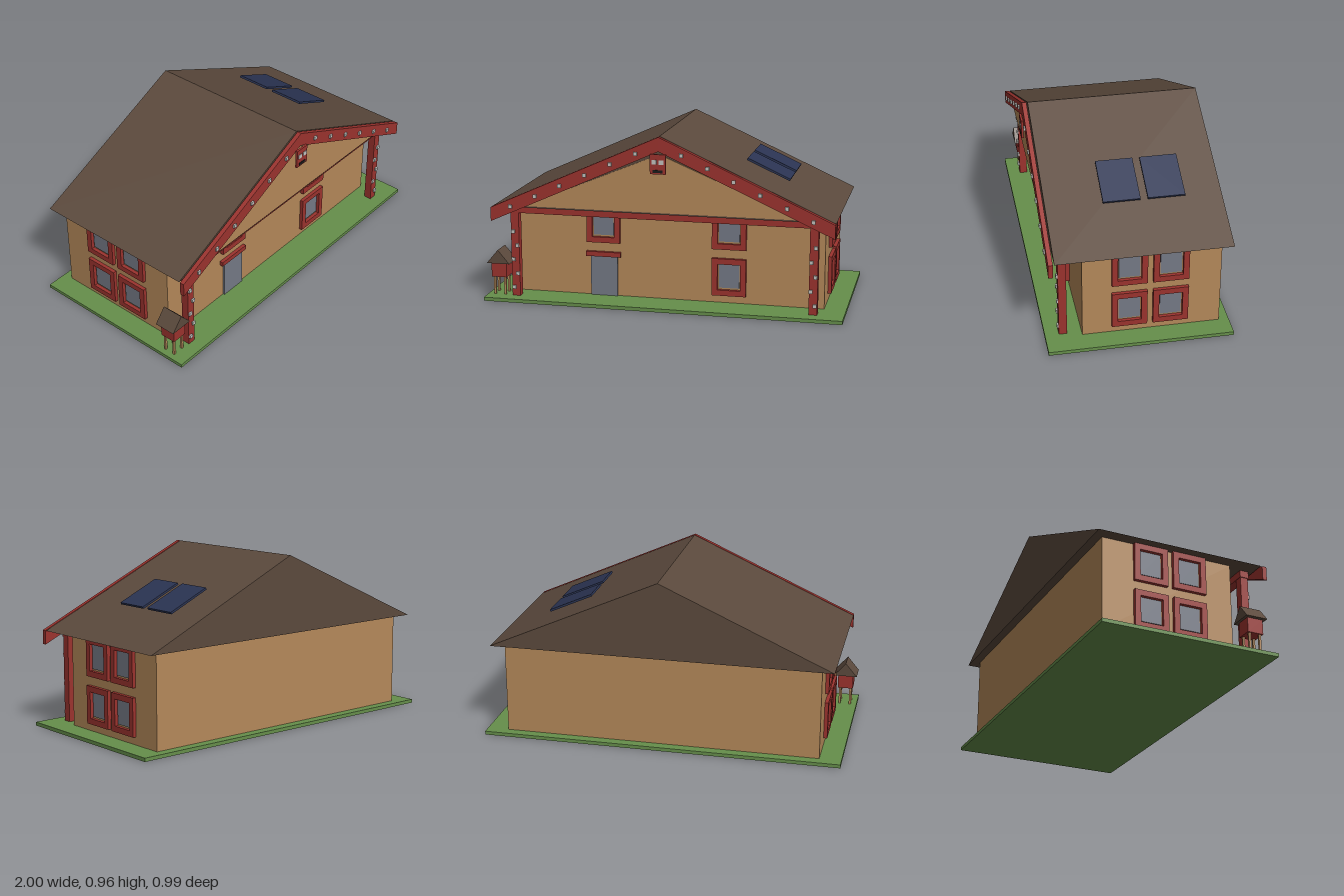
import * as THREE from 'three';

const mat = (name, color) => {
  const m = new THREE.MeshStandardMaterial({ color });
  m.name = name;
  return m;
};

export function createModel() {
  const root = new THREE.Group();
  root.name = 'house';
  const tan = mat('tan wall', 0xb5895a);
  const red = mat('red timber', 0x9c332e);
  const brown = mat('brown roof', 0x5c4a3d);
  const green = mat('grass green', 0x668f4b);
  const grey = mat('grey glass', 0x757a86);
  const navy = mat('navy panel', 0x2b3453);
  const pale = mat('pale stud', 0xc4c4c0);
  const black = mat('black', 0x1a1a1a);

  const add = (name, geometry, material, parent = root) => {
    const mesh = new THREE.Mesh(geometry, material);
    mesh.name = name;
    parent.add(mesh);
    return mesh;
  };
  // Box given by its lower and upper corners
  const box = (name, material, [x0, y0, z0], [x1, y1, z1], parent) => {
    const g = new THREE.BoxGeometry(x1 - x0, y1 - y0, z1 - z0);
    g.translate((x0 + x1) / 2, (y0 + y1) / 2, (z0 + z1) / 2);
    return add(name, g, material, parent);
  };
  // Outline in x and y, extruded from z0 to z1
  const slab = (name, material, points, z0, z1, parent) => {
    const shape = new THREE.Shape(points.map(([x, y]) => new THREE.Vector2(x, y)));
    const g = new THREE.ExtrudeGeometry(shape, { depth: z1 - z0, bevelEnabled: false });
    g.translate(0, 0, z0);
    return add(name, g, material, parent);
  };

  // Ground and walls
  box('ground', green, [-1, 0, -0.497], [1, 0.02, 0.497]);
  box('walls', tan, [-0.88, 0.02, -0.443], [0.88, 0.535, 0.3]);

  // Roof, front gable and barge boards
  slab('roof', brown, [[-0.95, 0.535], [0.95, 0.535], [0, 0.963]], -0.491, 0.45);
  slab('gable', tan, [[-0.77, 0.545], [0.77, 0.545], [0, 0.865]], 0.45, 0.456);
  slab('bargeBoards', red, [
    [0, 0.963], [-0.95, 0.535], [-0.95, 0.457], [0, 0.885], [0.95, 0.457], [0.95, 0.535],
  ], 0.457, 0.482);

  // Beam, posts and studs
  box('beam', red, [-0.86, 0.497, 0.375], [0.86, 0.535, 0.425]);
  const stud = (x, y, z) => box('stud', pale, [x - 0.01, y - 0.01, z], [x + 0.01, y + 0.01, z + 0.009]);
  for (const s of [-1, 1]) {
    const post = add('post', new THREE.BoxGeometry(0.046, 0.478, 0.044), red);
    post.position.set(s * 0.833, 0.259, 0.4);
    for (let i = 0; i < 5; i++) stud(s * (i % 2 ? 0.82 : 0.843), 0.39 - i * 0.08, 0.422);
    for (let i = 0; i < 6; i++) stud(s * (0.125 + i * 0.142), 0.87 - i * 0.065, 0.482);
  }

  // Carved mask under the ridge
  const mask = new THREE.Group();
  mask.name = 'mask';
  root.add(mask);
  box('maskPlate', red, [-0.043, 0.765, 0.482], [0.043, 0.872, 0.494], mask);
  for (const x of [-0.02, 0.02]) box('maskEye', pale, [x - 0.013, 0.818, 0.494], [x + 0.013, 0.842, 0.497], mask);
  box('maskMouth', black, [-0.026, 0.773, 0.494], [0.026, 0.788, 0.497], mask);

  // Window facing +z, base at the wall surface, centred on its frame
  const makeWindow = () => {
    const win = new THREE.Group();
    win.name = 'window';
    const shape = new THREE.Shape();
    shape.moveTo(-0.095, -0.105).lineTo(0.095, -0.105).lineTo(0.095, 0.105).lineTo(-0.095, 0.105);
    const hole = new THREE.Path();
    hole.moveTo(-0.063, -0.073).lineTo(-0.063, 0.073).lineTo(0.063, 0.073).lineTo(0.063, -0.073);
    shape.holes.push(hole);
    add('windowFrame', new THREE.ExtrudeGeometry(shape, { depth: 0.02, bevelEnabled: false }), red, win);
    box('windowGlass', grey, [-0.057, -0.063, 0], [0.057, 0.07, 0.005], win);
    root.add(win);
    return win;
  };
  const low = 0.168, high = 0.43;
  for (const [x, y] of [[-0.355, high], [0.355, high], [0.355, low]]) makeWindow().position.set(x, y, 0.3);
  for (const s of [-1, 1]) for (const z of [0.049, -0.172]) for (const y of [low, high]) {
    const win = makeWindow();
    win.position.set(s * 0.88, y, z);
    win.rotation.y = s * Math.PI / 2;
  }

  // Front door with lintel
  box('door', grey, [-0.43, 0.02, 0.3], [-0.277, 0.247, 0.31]);
  box('doorLintel', red, [-0.455, 0.245, 0.3], [-0.257, 0.272, 0.32]);

  // Solar panels above the +x slope
  for (const z of [0.049, -0.19]) {
    const panel = add('solarPanel', new THREE.BoxGeometry(0.262, 0.012, 0.2), navy);
    panel.position.set(0.541, 0.747, z);
    panel.rotation.z = -Math.atan2(0.428, 0.95);
  }

  // Small raised hutch beside the house
  const hutch = new THREE.Group();
  hutch.name = 'hutch';
  root.add(hutch);
  box('hutchBody', red, [-0.975, 0.122, 0.336], [-0.888, 0.205, 0.426], hutch);
  slab('hutchRoof', brown, [[-0.997, 0.203], [-0.865, 0.203], [-0.931, 0.281]], 0.32, 0.441, hutch);
  for (const x of [-0.961, -0.901]) for (const z of [0.351, 0.411]) {
    box('hutchLeg', tan, [x - 0.006, 0.02, z - 0.006], [x + 0.006, 0.122, z + 0.006], hutch);
  }
  return root;
}
